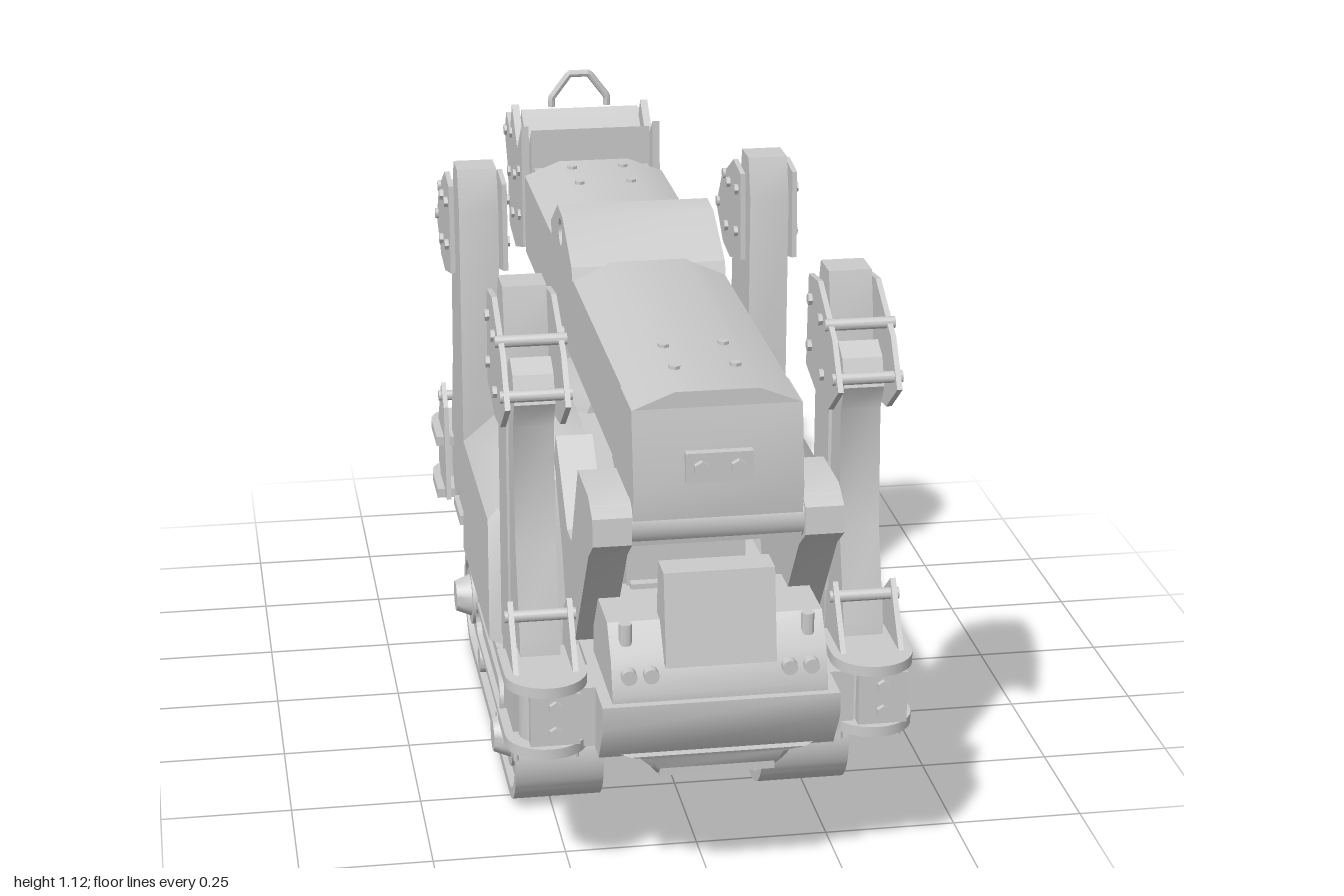
import * as THREE from 'three';
import { toCreasedNormals } from 'three/addons/utils/BufferGeometryUtils.js';

const grey = new THREE.MeshStandardMaterial({ color: 0xcccccc });

function add(parent, name, geo, x = 0, y = 0, z = 0) {
  const m = new THREE.Mesh(toCreasedNormals(geo, 0.6), grey);
  m.name = name;
  m.position.set(x, y, z);
  parent.add(m);
  return m;
}
// box given by its ranges
const box = (p, name, x0, x1, y0, y1, z0, z1) =>
  add(p, name, new THREE.BoxGeometry(x1 - x0, y1 - y0, z1 - z0), (x0 + x1) / 2, (y0 + y1) / 2, (z0 + z1) / 2);
// cylinder along x, y or z
function rod(p, name, axis, r, len, x, y, z, seg = 20) {
  const g = new THREE.CylinderGeometry(r, r, len, seg);
  if (axis === 'x') g.rotateZ(Math.PI / 2);
  if (axis === 'z') g.rotateX(Math.PI / 2);
  return add(p, name, g, x, y, z);
}
const poly = pts => new THREE.Shape(pts.map(q => new THREE.Vector2(q[0], q[1])));
// side outline in (z, y), extruded from x0 to x1
function side(p, name, shape, x0, x1) {
  const g = new THREE.ExtrudeGeometry(Array.isArray(shape) ? poly(shape) : shape,
    { depth: x1 - x0, bevelEnabled: false, curveSegments: 16 });
  return add(p, name, g.rotateY(-Math.PI / 2).translate(x1, 0, 0));
}
const hole = (shape, z, y, r) => { shape.holes.push(new THREE.Path().absarc(z, y, r, 0, Math.PI * 2)); return shape; };
// pill outline between two z centres
function pill(z0, z1, y, r, Type = THREE.Shape) {
  return new Type().absarc(z1, y, r, -Math.PI / 2, Math.PI / 2).absarc(z0, y, r, Math.PI / 2, Math.PI * 1.5).closePath();
}
// skin over matching rings, each anticlockwise seen from the first ring's end
function loft(p, name, rings) {
  const n = rings[0].length, pos = rings.flat(2), idx = [];
  for (let k = 0; k < rings.length - 1; k++)
    for (let i = 0; i < n; i++) {
      const a = k * n + i, b = k * n + (i + 1) % n;
      idx.push(a, a + n, b, b, a + n, b + n);
    }
  const e = (rings.length - 1) * n;
  for (let i = 1; i < n - 1; i++) idx.push(0, i, i + 1, e, e + i + 1, e + i);
  const g = new THREE.BufferGeometry();
  g.setAttribute('position', new THREE.Float32BufferAttribute(pos, 3));
  g.setIndex(idx);
  return add(p, name, g);
}
// rectangle in plan with chamfers c on the +x corners and d on the -x corners
const plan = (y, x0, x1, zb, zf, c, d = c) => [[x1, zf - c], [x1, zb + c], [x1 - c, zb], [x0 + d, zb], [x0, zb + d], [x0, zf - d], [x0 + d, zf], [x1 - c, zf]]
  .map(([x, z]) => [x, y, z]);

function buildTrack(s) {
  const t = new THREE.Group();
  t.name = 'crawlerTrack';
  const belt = pill(-0.2, 0.49, 0.113, 0.113);
  belt.holes.push(pill(-0.2, 0.49, 0.113, 0.092, THREE.Path));
  side(t, 'trackBelt', belt, -0.085, 0.085);
  side(t, 'trackFrame', pill(-0.2, 0.49, 0.113, 0.075), -0.075, 0.075);
  side(t, 'trackWeb', pill(-0.2, 0.49, 0.113, 0.094), -0.08, 0.06);
  const rim = pill(-0.03, 0.33, 0.13, 0.043);
  rim.holes.push(pill(-0.03, 0.33, 0.13, 0.03, THREE.Path));
  side(t, 'frameSlotRim', rim, 0.07, 0.086);
  for (const z of [-0.2, 0.49]) {
    rod(t, 'wheelHub', 'x', 0.06, 0.02, 0.075, 0.125, z, 28);
    const cap = new THREE.CylinderGeometry(0.032, 0.046, 0.035, 24).rotateZ(-Math.PI / 2);
    add(t, 'wheelCap', cap, 0.099, 0.127, z);
  }
  for (const z of [-0.01, 0.31]) rod(t, 'trackRoller', 'x', 0.027, 0.16, 0.007, 0.056, z);
  t.position.x = s * 0.24;
  if (s < 0) { t.rotation.y = Math.PI; t.position.z = 0.29; }
  return t;
}

// folded outrigger, built about x = 0
function buildOutrigger() {
  const o = new THREE.Group();
  o.name = 'outrigger';
  side(o, 'outerLeg', [[0.53, 0.36], [0.65, 0.36], [0.65, 0.98], [0.625, 1.08], [0.555, 1.08], [0.53, 1]], -0.04, 0.04);
  const arm = poly([[0.665, 0.9], [0.665, 0.42], [0.69, 0.31], [0.77, 0.3], [0.81, 0.36], [0.8, 0.46], [0.75, 0.62], [0.735, 0.85], [0.76, 0.9], [0.74, 0.95], [0.7, 0.97], [0.67, 0.95]]);
  side(o, 'innerArm', arm, -0.037, 0.037);
  for (const s of [-1, 1]) {
    const x = s * 0.054;
    side(o, 'kneePlate', [[0.53, 0.87], [0.65, 0.84], [0.73, 0.85], [0.81, 0.91], [0.75, 0.99], [0.62, 1.06], [0.54, 1.05]], x - 0.005, x + 0.005);
    for (const [z, y] of [[0.57, 1.01], [0.57, 0.92], [0.66, 1], [0.68, 0.9]]) rod(o, 'kneeBolt', 'x', 0.011, 0.01, s * 0.062, y, z, 6);
    side(o, 'bracketCheek', [[0.72, 0.3], [0.86, 0.3], [0.88, 0.43], [0.8, 0.54], [0.75, 0.5]], x - 0.005, x + 0.005);
    rod(o, 'lowerPin', 'y', 0.005, 0.04, s * 0.055, 0.277, 0.87, 8);
  }
  for (const [y, z] of [[1.005, 0.71], [0.925, 0.78], [0.51, 0.8]]) rod(o, 'crossPin', 'x', 0.011, 0.13, 0, y, z, 12);
  // slewing bracket
  for (const y of [0.3, 0.42]) {
    rod(o, 'bracketFlange', 'y', 0.075, 0.02, 0, y, 0.87, 32);
    box(o, 'bracketFlange', -0.075, 0.075, y - 0.01, y + 0.01, 0.76, 0.87);
  }
  rod(o, 'bracketPost', 'y', 0.05, 0.12, 0, 0.36, 0.87, 24);
  box(o, 'bracketFace', -0.035, 0.055, 0.31, 0.41, 0.85, 0.93);
  for (const y of [0.335, 0.385]) rod(o, 'bracketBolt', 'z', 0.013, 0.012, 0.01, y, 0.934, 6);
  // foot
  rod(o, 'footStem', 'y', 0.022, 0.04, 0, 0.35, 0.59, 16);
  box(o, 'footPad', -0.05, 0.05, 0.315, 0.335, 0.535, 0.655);
  for (const s of [-1, 1]) box(o, 'footRib', s * 0.035 - 0.005, s * 0.035 + 0.005, 0.33, 0.365, 0.55, 0.64);
  return o;
}

function buildBoom() {
  const b = new THREE.Group();
  b.name = 'boom';
  const sec = z => [[0.15, 0.77], [0.15, 0.94], [0.075, 0.97], [-0.075, 0.97], [-0.15, 0.94], [-0.15, 0.77]].map(([x, y]) => [x, y, z]);
  loft(b, 'boomSection', [sec(0.925), sec(-0.58)]);
  side(b, 'boomBase', [[0.925, 0.94], [0.95, 0.79], [0.935, 0.69], [0.88, 0.7], [0.7, 0.77], [0.8, 0.94]], -0.152, 0.152);
  box(b, 'boomLowerSection', -0.115, 0.115, 0.735, 0.775, -0.78, 0.8);
  box(b, 'boomInnerSection', -0.125, 0.125, 0.77, 0.945, -0.66, -0.57);
  box(b, 'endPlate', -0.06, 0.06, 0.81, 0.865, 0.93, 0.955);
  for (const x of [-0.033, 0.033]) rod(b, 'endBolt', 'z', 0.015, 0.014, x, 0.838, 0.96, 6);
  for (const z of [0.8, 0.68, -0.4, -0.52]) for (const x of [-0.055, 0.055]) rod(b, 'topBolt', 'y', 0.011, 0.008, x, 0.972, z, 6);
  side(b, 'topSaddle', hole(poly([[0.18, 0.94], [0.17, 0.965], [0.04, 1.03], [-0.03, 1.035], [-0.13, 0.975], [-0.13, 0.94]]), 0.01, 0.99, 0.027), -0.152, 0.152);
  for (const z of [0.1, -0.5, -0.72]) box(b, 'ropeGuide', -0.05, 0.05, 0.7, 0.737, z - 0.006, z + 0.006);

  // boom head
  side(b, 'headBody', [[-0.62, 0.77], [-0.62, 0.965], [-0.7, 0.965], [-0.8, 1.03], [-0.84, 0.96], [-0.86, 0.75], [-0.75, 0.74]], -0.13, 0.13);
  for (const s of [-1, 1]) {
    const x = s * 0.144;
    side(b, 'headPlate', [[-0.61, 0.77], [-0.62, 1.04], [-0.7, 0.97], [-0.79, 1.045], [-0.83, 0.975], [-0.9, 1], [-0.935, 0.95],
      [-0.885, 0.88], [-0.86, 0.75], [-0.75, 0.73]], x - 0.008, x + 0.008);
    for (const [z, y] of [[-0.66, 0.93], [-0.66, 0.83], [-0.74, 0.9], [-0.78, 0.8], [-0.8, 0.98], [-0.84, 0.88], [-0.9, 0.96]])
      rod(b, 'headBolt', 'x', 0.012, 0.008, s * 0.154, y, z, 6);
  }
  side(b, 'headRamp', [[-0.62, 0.96], [-0.62, 1.03], [-0.69, 0.965]], -0.13, 0.13);
  for (const x of [-0.07, 0.07]) rod(b, 'headRoller', 'x', 0.03, 0.12, x, 0.955, -0.89, 20);
  rod(b, 'headPin', 'x', 0.016, 0.29, 0, 0.955, -0.89, 16);
  const eye = new THREE.CurvePath();
  const pts = [[-0.062, 1.035], [-0.062, 1.055], [-0.022, 1.108], [0.022, 1.108], [0.062, 1.055], [0.062, 1.035]].map(q => new THREE.Vector3(q[0], q[1], -0.8));
  for (let i = 0; i < 5; i++) eye.add(new THREE.LineCurve3(pts[i], pts[i + 1]));
  add(b, 'liftingEye', new THREE.TubeGeometry(eye, 50, 0.008, 8));

  // sheave housing, ropes and hook
  const housing = new THREE.Shape().moveTo(-0.87, 0.9).quadraticCurveTo(-0.99, 0.9, -1, 0.78).lineTo(-1, 0.66)
    .quadraticCurveTo(-0.99, 0.6, -0.935, 0.6).quadraticCurveTo(-0.875, 0.6, -0.87, 0.66).closePath();
  side(b, 'sheaveHousing', housing, -0.08, 0.08);
  for (const z of [-0.89, -0.975]) for (const x of [-0.035, 0.035]) rod(b, 'hoistRope', 'y', 0.005, 0.16, x, 0.55, z, 8);
  side(b, 'hookBlock', [[-0.875, 0.49], [-0.99, 0.49], [-0.99, 0.41], [-0.96, 0.36], [-0.905, 0.36], [-0.875, 0.41]], -0.06, 0.06);
  const curve = new THREE.CatmullRomCurve3([[0.36, -0.93], [0.325, -0.93], [0.305, -0.965], [0.265, -0.978], [0.228, -0.95], [0.23, -0.91], [0.265, -0.885]]
    .map(q => new THREE.Vector3(0, q[0], q[1])));
  add(b, 'hook', new THREE.TubeGeometry(curve, 36, 0.02, 10));
  add(b, 'hookTip', new THREE.ConeGeometry(0.02, 0.04, 10), 0, 0.28, -0.882);
  return b;
}

export function createModel() {
  const g = new THREE.Group();
  g.name = 'crawlerCrane';
  for (const s of [-1, 1]) g.add(buildTrack(s));

  // hull
  side(g, 'undercarriage', pill(-0.12, 0.4, 0.135, 0.065), -0.165, 0.165);
  side(g, 'keel', [[0.96, 0.25], [0.6, 0.14], [0.42, 0.085], [-0.12, 0.085], [-0.31, 0.16], [-0.52, 0.26], [-0.52, 0.29], [0.96, 0.29]], -0.105, 0.105);
  loft(g, 'hullFlare', [plan(0.295, -0.21, 0.21, -0.53, 0.97, 0.05), plan(0.286, -0.15, 0.15, -0.525, 0.965, 0.03),
    plan(0.265, -0.12, 0.12, -0.515, 0.96, 0.01), plan(0.245, -0.107, 0.107, -0.49, 0.94, 0.005)]);

  // covers on both sides, with a low floor between them under the boom
  const coverRings = [[0.66, 0.22, 0.01, 0.36, 0.03], [0.635, 0.255, -0.05, 0.41, 0.05], [0.53, 0.347, -0.115, 0.435, 0.055], [0.29, 0.35, -0.13, 0.465, 0.06]];
  for (const s of [-1, 1])
    loft(g, 'engineCover', coverRings.map(([y, h, zb, zf, c]) =>
      s > 0 ? plan(y, 0.14, h, zb, zf, c, 0.002) : plan(y, -h, -0.14, zb, zf, 0.002, c)));
  box(g, 'coverBridge', -0.145, 0.145, 0.29, 0.58, -0.1, 0.41);
  loft(g, 'rearHood', [[0.61, 0.13, -0.33, 0.05], [0.56, 0.18, -0.43, 0.08], [0.44, 0.205, -0.51, 0.09], [0.29, 0.205, -0.52, 0.08]]
    .map(([y, h, zb, c]) => plan(y, -h, h, zb, -0.05, c)));

  // front bumper and control panel
  side(g, 'bumper', [[0.7, 0.29], [0.95, 0.29], [1, 0.365], [1, 0.41], [0.7, 0.41]], -0.215, 0.215);
  side(g, 'controlPanel', [[0.985, 0.41], [0.985, 0.425], [0.965, 0.485], [0.92, 0.54], [0.75, 0.54], [0.75, 0.41]], -0.195, 0.195);
  side(g, 'controlConsole', [[0.99, 0.475], [0.96, 0.645], [0.9, 0.645], [0.88, 0.475]], -0.1, 0.1);
  for (const x of [-0.165, -0.125, 0.125, 0.165]) rod(g, 'controlKnob', 'z', 0.014, 0.03, x, 0.46, 0.975, 16);
  for (const x of [-0.165, 0.165]) rod(g, 'controlLever', 'y', 0.012, 0.04, x, 0.525, 0.94, 12);

  // slewing post and boom yoke
  rod(g, 'slewRing', 'y', 0.15, 0.14, 0, 0.36, 0.68, 40);
  box(g, 'slewPost', -0.13, 0.13, 0.4, 0.55, 0.6, 0.78);
  box(g, 'liftCylinder', -0.085, 0.085, 0.5, 0.74, 0.64, 0.76);
  box(g, 'slewMotor', -0.135, -0.07, 0.54, 0.67, 0.64, 0.76);
  for (const s of [-1, 1]) {
    const x = s * 0.19;
    side(g, 'yokePlate', [[0.9, 0.775], [0.95, 0.75], [0.955, 0.7], [0.9, 0.66], [0.78, 0.5], [0.72, 0.42], [0.6, 0.42], [0.55, 0.53], [0.44, 0.68],
      [0.47, 0.73], [0.53, 0.68], [0.62, 0.6], [0.68, 0.6], [0.77, 0.775]], x - 0.035, x + 0.035);
  }
  rod(g, 'boomPivot', 'x', 0.045, 0.45, 0, 0.725, 0.9, 24);

  g.add(buildBoom());

  // four outriggers and their beams
  for (const s of [-1, 1]) {
    for (const rear of [false, true]) {
      const o = buildOutrigger();
      o.position.set(s * 0.3, 0, rear ? 0.4 : 0);
      if (rear) o.rotation.y = Math.PI;
      g.add(o);
      const z = rear ? -0.46 : 0.86, x = s * 0.2;
      box(g, 'outriggerBeam', x - 0.06, x + 0.06, 0.295, 0.41, z - 0.05, z + 0.05);
    }
  }

  // rear panel and hitch
  box(g, 'rearPanel', -0.2, 0.2, 0.34, 0.46, -0.56, -0.48);
  box(g, 'rearPanelStep', -0.17, 0.17, 0.46, 0.53, -0.575, -0.53);
  box(g, 'rearPanelTop', -0.11, 0.11, 0.53, 0.59, -0.575, -0.535);
  rod(g, 'hitchPin', 'z', 0.02, 0.03, 0, 0.38, -0.565, 16);
  const hitch = hole(poly([[-0.035, 0.13], [0.035, 0.13], [0.035, 0.36], [0.02, 0.4], [-0.02, 0.4], [-0.035, 0.36]]), 0, 0.19, 0.018);
  add(g, 'hitchPlate', new THREE.ExtrudeGeometry(hitch, { depth: 0.025, bevelEnabled: false }), 0, 0, -0.565);
  return g;
}
